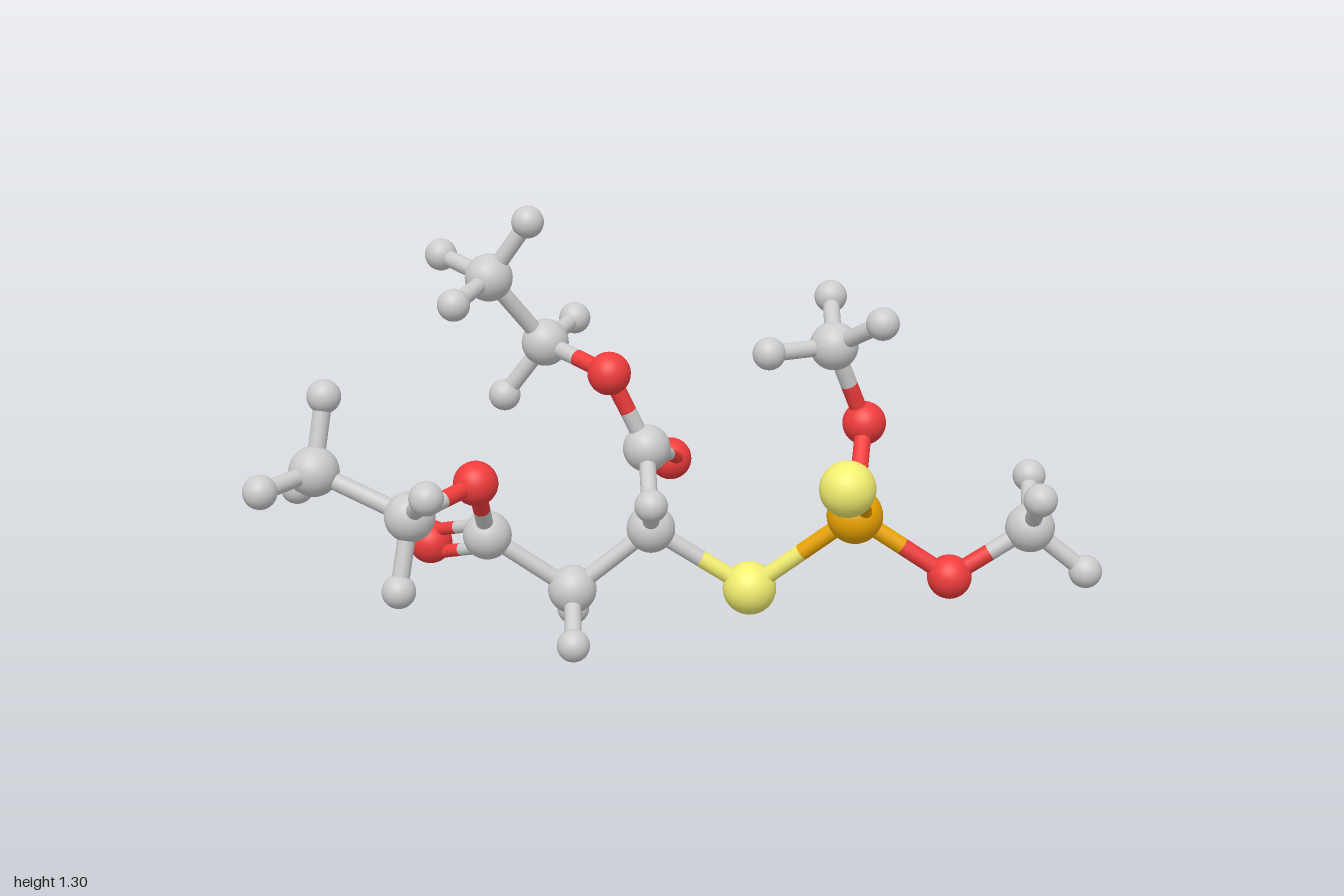
import * as THREE from 'three';

// Elements: ball radius and colour
const ELEMENTS = {
  H: { name: 'hydrogen', radius: 0.05, color: 0xcccccc },
  C: { name: 'carbon', radius: 0.074, color: 0xcccccc },
  O: { name: 'oxygen', radius: 0.067, color: 0xf03c3c },
  S: { name: 'sulfur', radius: 0.082, color: 0xf2ee70 },
  P: { name: 'phosphorus', radius: 0.085, color: 0xeaa400 },
};

// Heavy atoms: element, position, then the hydrogens attached to it
const ATOMS = {
  P: ['P', [0.47, 0.428, 0.38]],
  doubleS: ['S', [0.152, 0.62, 0.58]],
  bridgeS: ['S', [0.327, 0.175, 0.093]],
  upperO: ['O', [0.688, 0.65, 0.252]],
  upperMethyl: ['C', [0.583, 0.905, 0.209],
    [[0.56, 1.005, 0.403], [0.72, 1.02, 0.093], [0.393, 0.9, 0.108]]],
  lowerO: ['O', [0.64, 0.242, 0.612]],
  lowerMethyl: ['C', [0.794, 0.396, 0.793],
    [[0.67, 0.53, 0.902], [0.949, 0.505, 0.687], [0.89, 0.263, 0.933]]],
  centre: ['C', [0.131, 0.366, -0.135], [[0, 0.488, -0.024]]],
  link: ['C', [-0.03, 0.175, -0.313],
    [[-0.158, 0.054, -0.196], [0.104, 0.054, -0.43]]],
  // First ester arm
  acidA: ['C', [-0.2, 0.35, -0.504]],
  doubleOA: ['O', [-0.212, 0.286, -0.735]],
  esterOA: ['O', [-0.345, 0.563, -0.409]],
  ethylA: ['C', [-0.619, 0.524, -0.41],
    [[-0.68, 0.315, -0.4], [-0.713, 0.63, -0.247]]],
  endA: ['C', [-0.746, 0.64, -0.668],
    [[-0.955, 0.624, -0.668], [-0.687, 0.85, -0.68], [-0.66, 0.542, -0.837]]],
  // Second ester arm
  acidB: ['C', [0.313, 0.55, -0.305]],
  doubleOB: ['O', [0.526, 0.457, -0.386]],
  esterOB: ['O', [0.222, 0.794, -0.379]],
  ethylB: ['C', [0.238, 0.848, -0.658],
    [[0.436, 0.885, -0.71], [0.168, 0.674, -0.77]]],
  endB: ['C', [0.056, 1.075, -0.724],
    [[0.115, 1.253, -0.613], [-0.152, 1.03, -0.674], [0.067, 1.118, -0.939]]],
};

// Bonds between heavy atoms; a third entry marks a double bond and its spread direction
const BONDS = [
  ['P', 'doubleS', [0.53, 0, 0.85]], ['P', 'bridgeS'], ['P', 'upperO'], ['P', 'lowerO'],
  ['upperO', 'upperMethyl'], ['lowerO', 'lowerMethyl'],
  ['bridgeS', 'centre'], ['centre', 'link'], ['centre', 'acidB'], ['link', 'acidA'],
  ['acidA', 'doubleOA', [0, 1, -0.26]], ['acidA', 'esterOA'], ['esterOA', 'ethylA'], ['ethylA', 'endA'],
  ['acidB', 'doubleOB', [0.35, 0, 0.94]], ['acidB', 'esterOB'], ['esterOB', 'ethylB'], ['ethylB', 'endB'],
];

const UP = new THREE.Vector3(0, 1, 0);
const BOND_RADIUS = 0.026;
const DOUBLE_RADIUS = 0.02;
const DOUBLE_OFFSET = 0.035;

export function createModel() {
  const model = new THREE.Group();
  const materials = {}, balls = {};
  for (const [key, e] of Object.entries(ELEMENTS)) {
    materials[key] = new THREE.MeshStandardMaterial({ color: e.color });
    balls[key] = new THREE.SphereGeometry(e.radius, 32, 20);
  }

  function addBall(element, position) {
    const ball = new THREE.Mesh(balls[element], materials[element]);
    ball.name = ELEMENTS[element].name + 'Atom';
    ball.position.copy(position);
    model.add(ball);
  }

  function addStick(from, to, radius, element) {
    const direction = to.clone().sub(from);
    const geometry = new THREE.CylinderGeometry(radius, radius, direction.length(), 16);
    const stick = new THREE.Mesh(geometry, materials[element]);
    stick.name = ELEMENTS[element].name + 'Bond';
    stick.position.copy(from).lerp(to, 0.5);
    stick.quaternion.setFromUnitVectors(UP, direction.normalize());
    model.add(stick);
  }

  // Each half of a bond takes the colour of its own atom
  function addBond(a, b, elementA, elementB, spread) {
    const shifts = spread ? [-DOUBLE_OFFSET, DOUBLE_OFFSET] : [0];
    const radius = spread ? DOUBLE_RADIUS : BOND_RADIUS;
    const side = new THREE.Vector3(...(spread || [0, 0, 0])).normalize();
    for (const shift of shifts) {
      const start = a.clone().addScaledVector(side, shift);
      const end = b.clone().addScaledVector(side, shift);
      const middle = start.clone().lerp(end, 0.5);
      addStick(start, middle, radius, elementA);
      addStick(middle, end, radius, elementB);
    }
  }

  // Balls, with their hydrogens
  for (const [element, point, hydrogens = []] of Object.values(ATOMS)) {
    const position = new THREE.Vector3(...point);
    addBall(element, position);
    for (const h of hydrogens) {
      const tip = new THREE.Vector3(...h);
      addBall('H', tip);
      addBond(position, tip, element, 'H');
    }
  }

  // Sticks of the skeleton
  for (const [a, b, spread] of BONDS) {
    const [elementA, pointA] = ATOMS[a];
    const [elementB, pointB] = ATOMS[b];
    addBond(new THREE.Vector3(...pointA), new THREE.Vector3(...pointB), elementA, elementB, spread);
  }
  return model;
}
